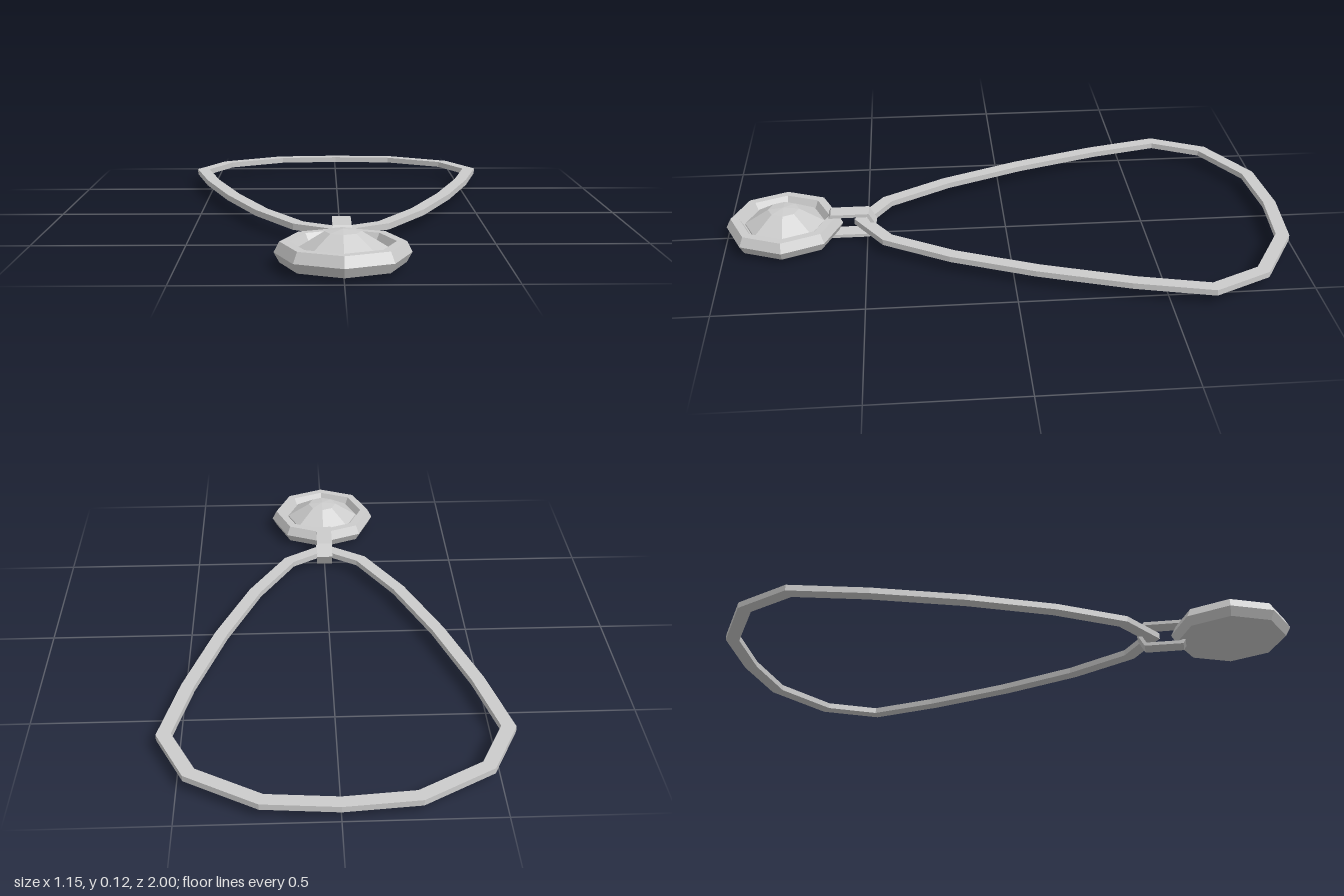
import * as THREE from 'three';

const V = (x, y) => new THREE.Vector2(x, y);

// Offsets a closed outline sideways with mitred corners
function offset(points, d) {
  const n = points.length;
  return points.map((p, i) => {
    const a = p.clone().sub(points[(i + n - 1) % n]).normalize();
    const b = points[(i + 1) % n].clone().sub(p).normalize();
    const na = V(a.y, -a.x), nb = V(b.y, -b.x);
    const m = na.clone().add(nb).normalize();
    return p.clone().addScaledVector(m, d / m.dot(na));
  });
}

// Flat closed band around an outline (counter-clockwise), extruded by depth
function band(points, outer, inner, depth) {
  const shape = new THREE.Shape(offset(points, outer));
  shape.holes.push(new THREE.Path(offset(points, -inner)));
  return new THREE.ExtrudeGeometry(shape, { depth, bevelEnabled: false });
}

export function createModel() {
  const group = new THREE.Group();
  const material = new THREE.MeshStandardMaterial({ color: 0xcccccc, flatShading: true });
  const add = (name, geometry) => {
    const mesh = new THREE.Mesh(geometry, material);
    mesh.name = name;
    group.add(mesh);
    return mesh;
  };

  // Neck band: right half from clasp end to back, then mirrored (x, -z)
  const half = [[0.14, -0.427], [0.27, -0.205], [0.387, 0.077], [0.488, 0.385],
    [0.55, 0.642], [0.46, 0.828], [0.238, 0.957]];
  const right = half.map(([x, y]) => V(x, y));
  const left = half.map(([x, y]) => V(-x, y)).reverse();
  const path = [V(0, -0.518), ...right, V(0, 0.977), ...left];
  const chain = add('chain', band(path, 0.023, 0.023, 0.021));
  chain.geometry.rotateX(-Math.PI / 2);
  chain.position.y = 0.037;

  // Bail: stretched hexagonal loop joining chain and pendant (z, y)
  const loop = [V(0.466, 0.046), V(0.492, 0), V(0.628, 0), V(0.655, 0.046),
    V(0.628, 0.092), V(0.492, 0.092)];
  const bail = add('bail', band(loop, 0, 0.012, 0.06));
  bail.geometry.rotateY(-Math.PI / 2);
  bail.position.x = 0.03;

  // Octagonal setting with a recessed seat
  const setting = [V(0, 0.015), V(0.19, 0.015), V(0.207, 0.046), V(0.19, 0.079),
    V(0.16, 0.079), V(0.145, 0.052), V(0, 0.052)];
  add('setting', new THREE.LatheGeometry(setting, 8)).position.z = 0.793;

  // Faceted stone
  const stone = [V(0.14, 0.05), V(0.14, 0.058), V(0.055, 0.11), V(0, 0.117)];
  add('stone', new THREE.LatheGeometry(stone, 8)).position.z = 0.793;

  return group;
}
